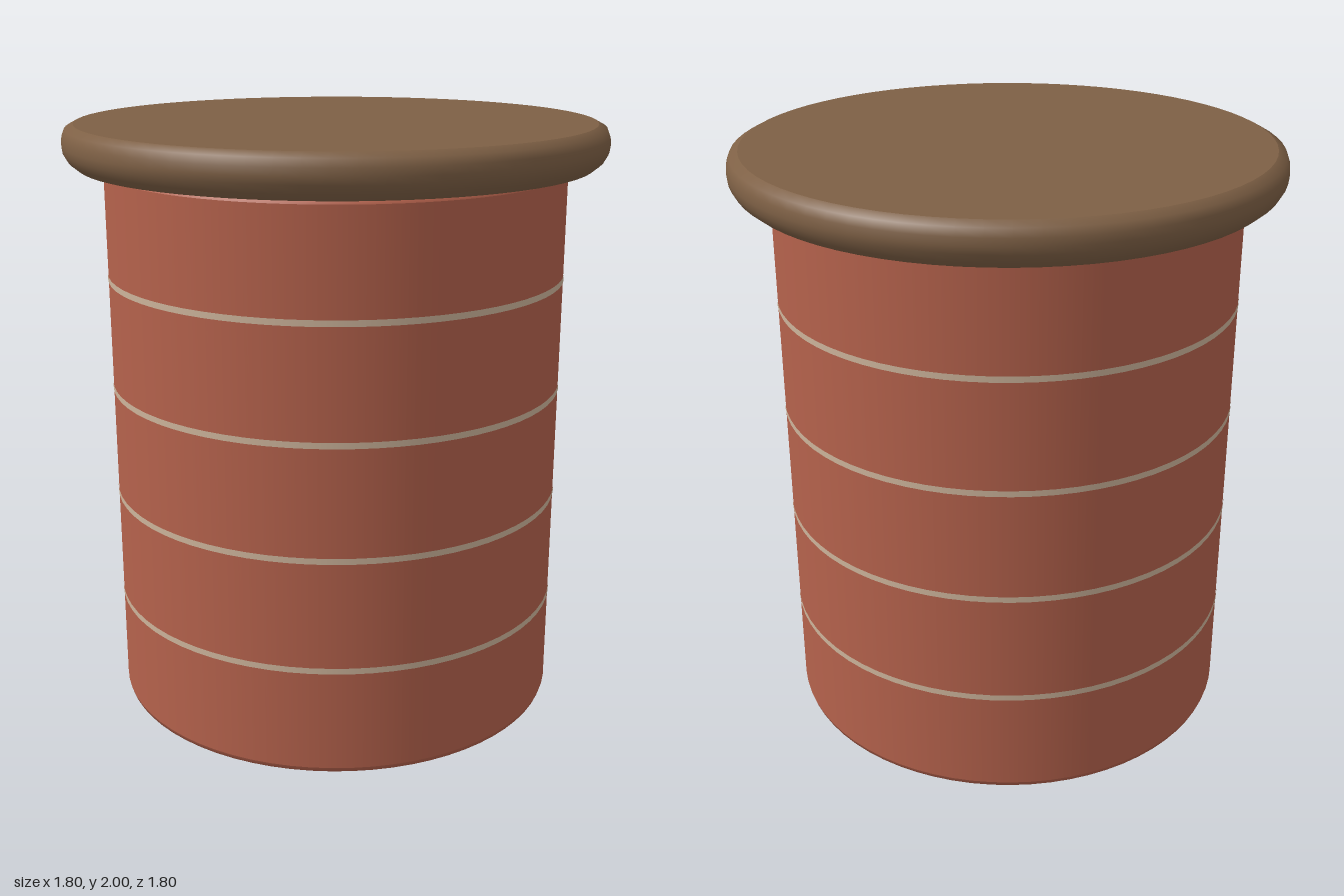
import * as THREE from 'three';

const SEGMENTS = 72;

// Revolve a bottom-to-top [radius, y] profile; a repeated point makes a crisp edge.
function turned(name, profile, material) {
  const points = profile.map(([r, y]) => new THREE.Vector2(r, y));
  const mesh = new THREE.Mesh(new THREE.LatheGeometry(points, SEGMENTS), material);
  mesh.name = name;
  return mesh;
}

export function createModel() {
  const brick = new THREE.MeshStandardMaterial({ color: 0xb5624c });
  brick.name = 'terracotta brick';
  const mortar = new THREE.MeshStandardMaterial({ color: 0xcdb49b });
  mortar.name = 'pale mortar';
  const cap = new THREE.MeshStandardMaterial({ color: 0x7e6045 });
  cap.name = 'brown cap';

  const group = new THREE.Group();
  group.name = 'chimneyPot';

  // Round shaft with softened rims
  group.add(turned('shaft', [
    [0, 0], [0.75, 0], [0.75, 0], [0.765, 0.007], [0.77, 0.022], [0.77, 0.022],
    [0.77, 1.84], [0.77, 1.84], [0.765, 1.852], [0.75, 1.86], [0.75, 1.86], [0, 1.86],
  ], brick));

  // Thin mortar joints around the shaft
  for (let i = 1; i <= 4; i++) {
    const y = -0.005 + i * 0.375;
    const joint = new THREE.Mesh(
      new THREE.CylinderGeometry(0.772, 0.772, 0.02, SEGMENTS, 1, true), mortar);
    joint.name = 'mortarJoint' + i;
    joint.position.y = y;
    group.add(joint);
  }

  // Mortar bed under the cap
  const bed = new THREE.Mesh(new THREE.CylinderGeometry(0.752, 0.752, 0.012, SEGMENTS), mortar);
  bed.name = 'mortarBed';
  bed.position.y = 1.862;
  group.add(bed);

  // Overhanging cap slab with a rounded rim
  group.add(turned('cap', [
    [0, 1.863], [0.855, 1.863], [0.855, 1.863], [0.882, 1.885], [0.897, 1.912], [0.9, 1.935],
    [0.898, 1.96], [0.888, 1.985], [0.86, 2], [0.86, 2], [0, 2],
  ], cap));

  return group;
}
